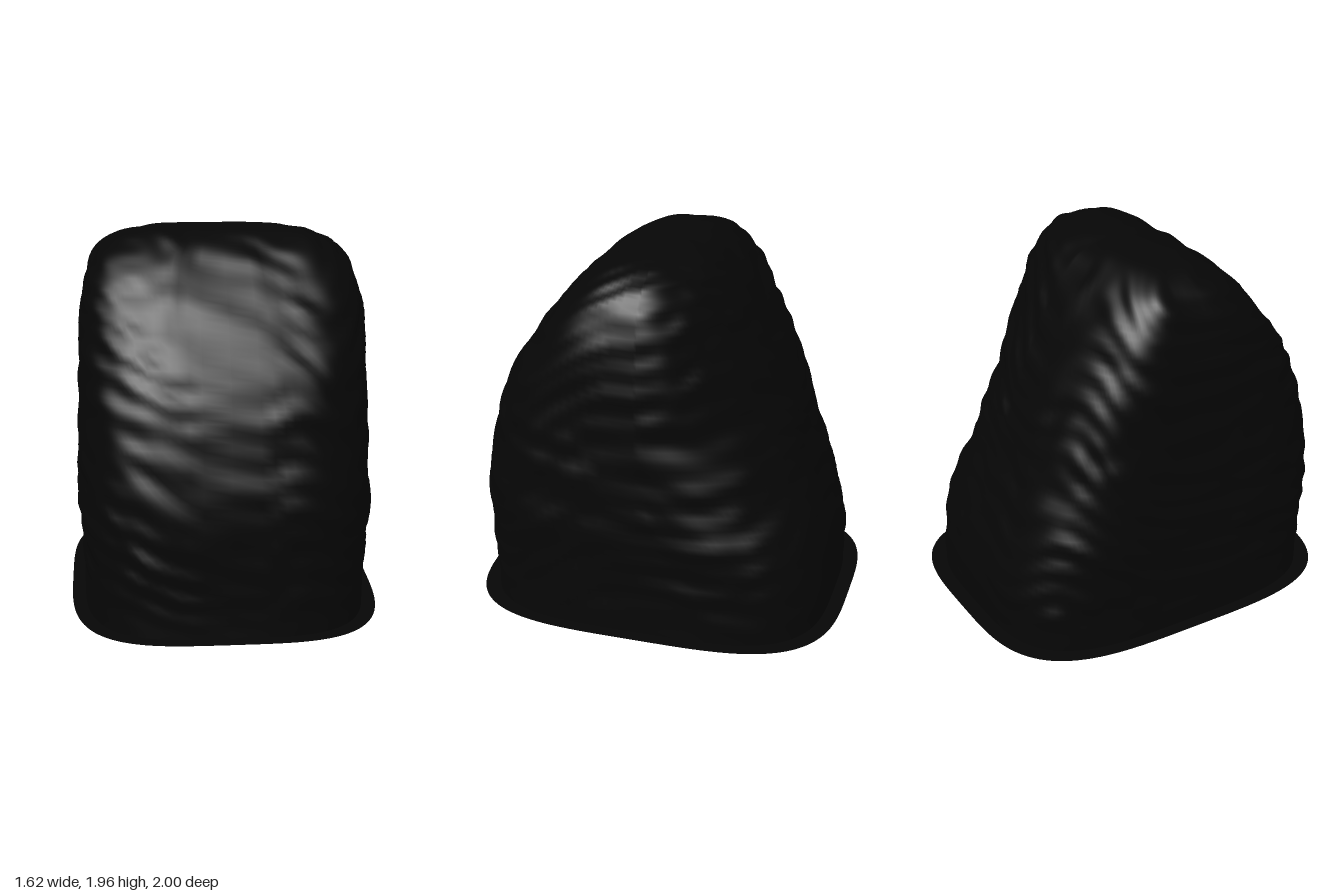
import * as THREE from 'three';

// y, half width, front z, back z
const profile = [
  [0, 0.74, 0.925, -0.92], [0.12, 0.74, 0.925, -0.92], [0.25, 0.745, 0.933, -0.915],
  [0.4, 0.75, 0.938, -0.89], [0.56, 0.763, 0.95, -0.845], [0.72, 0.76, 0.943, -0.79],
  [0.9, 0.758, 0.91, -0.73], [1.07, 0.75, 0.875, -0.68], [1.2, 0.748, 0.83, -0.63],
  [1.34, 0.745, 0.765, -0.58], [1.5, 0.738, 0.655, -0.50], [1.65, 0.715, 0.545, -0.43],
  [1.79, 0.66, 0.41, -0.34], [1.87, 0.575, 0.31, -0.265], [1.93, 0.42, 0.18, -0.16],
  [1.95, 0.2, 0.07, -0.06], [1.955, 0, 0, 0],
];

const ROUND = 3.6;
const power = (v, n) => Math.sign(v) * Math.abs(v) ** (2 / n);

// Squareness of the left back corner, which is cut away above the base
const cutCorner = y => ROUND - 1.3 * THREE.MathUtils.smoothstep(y, 0.3, 0.85)
  - 0.45 * THREE.MathUtils.smoothstep(y, 0.85, 1.2);

// Irregular surface relief from warped waves
function bump(x, y, z) {
  const u = x + 0.12 * Math.sin(5 * y + 3 * z), v = y + 0.1 * Math.sin(7 * x - 4 * z);
  const t = z + 0.12 * Math.sin(6 * y + 5 * x);
  return 0.009 * Math.sin(11 * u + 1) * Math.sin(14 * v) * Math.cos(10 * t)
    + 0.006 * Math.sin(25 * v + 2) * Math.cos(17 * u) * Math.cos(19 * t + 1)
    + 0.004 * Math.cos(41 * v - 9 * u + 12 * t);
}

function bodyGeometry(rows = 80, cols = 128) {
  const sides = new THREE.CatmullRomCurve3(profile.map(p => new THREE.Vector3(p[1], p[0], 0)), false, 'catmullrom');
  const depth = new THREE.CatmullRomCurve3(profile.map(p => new THREE.Vector3(p[2], p[0], p[3])), false, 'catmullrom');
  const pos = [], index = [];
  for (let i = 0; i <= rows; i++) {
    const w = sides.getPoint(i / rows).x, d = depth.getPoint(i / rows);
    const rough = Math.min(1, d.y / 0.25) * Math.min(1, w / 0.5);
    for (let j = 0; j < cols; j++) {
      const a = j / cols * Math.PI * 2, s = Math.sin(a), c = Math.cos(a);
      const n = c < 0 && s > 0 ? cutCorner(d.y) : ROUND;
      const x = w * power(s, n);
      const z = (c > 0 ? d.x : -d.z) * power(c, n);
      const b = bump(x, d.y, z) * rough;
      pos.push(x + s * b, d.y + b * 0.5 * Math.min(1, d.y / 1.5), z + c * b);
      if (i < rows) {
        const k = i * cols, m = (j + 1) % cols;
        index.push(k + j, k + m, k + cols + j);
        if (i < rows - 1) index.push(k + m, k + cols + m, k + cols + j);
      }
    }
  }
  const g = new THREE.BufferGeometry();
  g.setAttribute('position', new THREE.Float32BufferAttribute(pos, 3));
  g.setIndex(index);
  g.computeVertexNormals();
  return g;
}

const outline = (w, d) => Array.from({ length: 128 }, (_, i) => {
  const a = i / 128 * Math.PI * 2;
  return new THREE.Vector2(w * power(Math.cos(a), ROUND), d * power(Math.sin(a), ROUND));
});

export function createModel() {
  const group = new THREE.Group();
  const black = new THREE.MeshStandardMaterial({ color: 0x060606, side: THREE.DoubleSide });
  black.name = 'black';

  // Hollow body, open underneath
  const body = new THREE.Mesh(bodyGeometry(), black);
  body.name = 'body';

  // Flat brim around the opening
  const shape = new THREE.Shape(outline(0.81, 1));
  shape.holes.push(new THREE.Path(outline(0.735, 0.915)));
  const brim = new THREE.Mesh(new THREE.ShapeGeometry(shape).rotateX(-Math.PI / 2), black);
  brim.name = 'brim';
  brim.position.y = 0.002;

  group.add(body, brim);
  return group;
}
